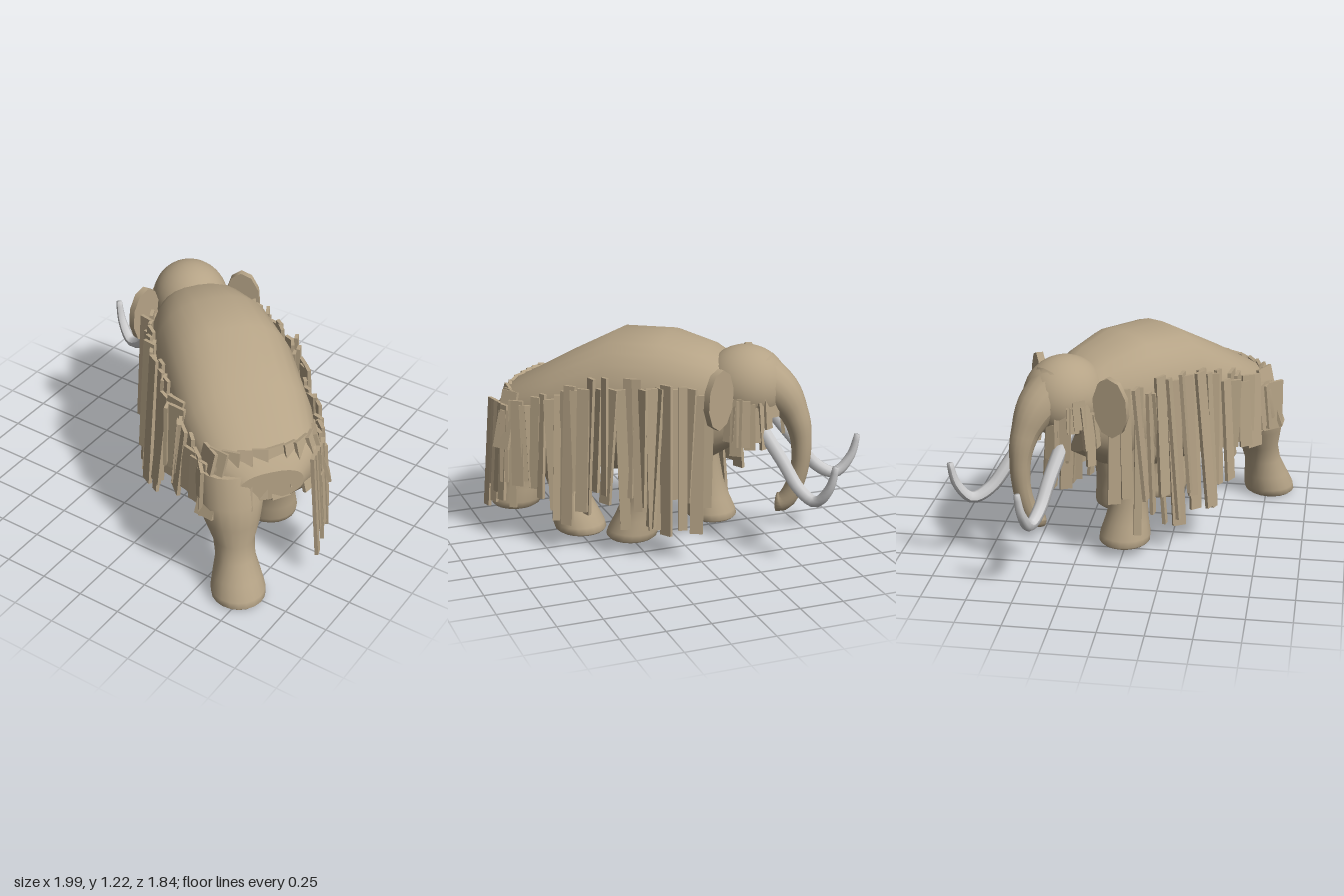
import * as THREE from 'three';

const wool = new THREE.MeshStandardMaterial({ color: 0xb5a386 });
wool.name = 'wool';
const ivory = new THREE.MeshStandardMaterial({ color: 0xcfcfd0 });
ivory.name = 'ivory';

// Seeded random number between a and b
let seed = 7;
const rand = (a, b) => {
  seed = (seed * 16807) % 2147483647;
  return a + (b - a) * (seed / 2147483647);
};

function addMesh(parent, name, geometry, material = wool) {
  const mesh = new THREE.Mesh(geometry, material);
  mesh.name = name;
  parent.add(mesh);
  return mesh;
}

// Skin a list of rings (turning clockwise about the axis) and cap both ends
function loft(rings) {
  const n = rings[0].length, pos = [], idx = [];
  rings.forEach(r => r.forEach(p => pos.push(...p)));
  for (let k = 0; k < rings.length - 1; k++) {
    for (let j = 0; j < n; j++) {
      const a = k * n + j, b = k * n + (j + 1) % n;
      idx.push(b, a, a + n, b, a + n, b + n);
    }
  }
  [rings[0], rings[rings.length - 1]].forEach((ring, end) => {
    const base = pos.length / 3;
    const mid = [0, 1, 2].map(c => ring.reduce((s, p) => s + p[c], 0) / n);
    ring.forEach(p => pos.push(...p));
    pos.push(...mid);
    for (let j = 0; j < n; j++) {
      const a = base + j, b = base + (j + 1) % n;
      if (end) idx.push(base + n, b, a);
      else idx.push(base + n, a, b);
    }
  });
  const g = new THREE.BufferGeometry();
  g.setAttribute('position', new THREE.Float32BufferAttribute(pos, 3));
  g.setIndex(idx);
  g.computeVertexNormals();
  return g;
}

// Tube whose radius follows a list, closed flat at its far end
function taperedTube(points, radii, sides) {
  const seg = 28;
  const curve = new THREE.CatmullRomCurve3(points.map(p => new THREE.Vector3(...p)));
  const g = new THREE.TubeGeometry(curve, seg, 1, sides, false);
  const p = g.attributes.position, v = new THREE.Vector3();
  for (let i = 0; i < p.count; i++) {
    const k = Math.floor(i / (sides + 1));
    const f = Math.min(k, seg - 1) / (seg - 1) * (radii.length - 1);
    const a = Math.min(Math.floor(f), radii.length - 2);
    const r = k === seg ? 0 : THREE.MathUtils.lerp(radii[a], radii[a + 1], f - a);
    const c = curve.getPointAt(k / seg);
    v.fromBufferAttribute(p, i).sub(c).multiplyScalar(r);
    v.add(curve.getPointAt(Math.min(k, seg - 1) / seg));
    p.setXYZ(i, v.x, v.y, v.z);
  }
  g.computeVertexNormals();
  return g;
}

// Body sections: z, top, bottom, half width
const sections = [
  [-0.99, 0.76, 0.58, 0.18], [-0.9, 0.87, 0.5, 0.31], [-0.6, 1.04, 0.43, 0.37],
  [-0.28, 1.21, 0.4, 0.38], [0.02, 1.22, 0.42, 0.36], [0.25, 1.16, 0.5, 0.3],
  [0.44, 1.06, 0.62, 0.2],
];

function sectionAt(z) {
  let i = 0;
  while (i < sections.length - 2 && sections[i + 1][0] < z) i++;
  const a = sections[i], b = sections[i + 1];
  const t = (z - a[0]) / (b[0] - a[0]);
  return a.map((v, k) => THREE.MathUtils.lerp(v, b[k], t));
}

function bodyRing([z, top, bottom, half]) {
  const ring = [], n = 28;
  const power = (v, e) => Math.sign(v) * Math.abs(v) ** e;
  for (let j = 0; j < n; j++) {
    const a = j / n * Math.PI * 2;
    ring.push([half * power(Math.cos(a), 0.8),
      (top + bottom) / 2 - (top - bottom) / 2 * power(Math.sin(a), 0.85), z]);
  }
  return ring;
}

// Leg with flared foot, leaning from foot to hip; profile is [height, radius]
function leg(parent, name, foot, hip, profile) {
  const rings = profile.map(([y, r]) => {
    const t = y / 0.8, ring = [];
    for (let j = 0; j < 20; j++) {
      const a = j / 20 * Math.PI * 2;
      ring.push([THREE.MathUtils.lerp(foot[0], hip[0], t) + r * Math.cos(a),
        foot[1] + y, THREE.MathUtils.lerp(foot[2], hip[1], t) + r * Math.sin(a)]);
    }
    return ring;
  });
  addMesh(parent, name, loft(rings));
}

// Flat lock of wool hanging from a point, facing yaw and leaning outwards
function lock(parent, x, y, z, width, length, yaw, lean) {
  const g = new THREE.BoxGeometry(width, length, 0.02).translate(0, -length / 2, 0);
  const m = addMesh(parent, 'woolLock', g);
  m.position.set(x, y, z);
  m.rotation.set(-lean, yaw, rand(-0.04, 0.04), 'YXZ');
}

export function createModel() {
  seed = 7;
  const model = new THREE.Group();
  model.name = 'woollyMammoth';
  const beast = new THREE.Group();
  beast.name = 'mammoth';
  beast.rotation.y = -2.25;
  beast.position.set(0.025, 0, -0.03);
  model.add(beast);

  addMesh(beast, 'body', loft(sections.map(bodyRing)));

  // Head and trunk
  const head = addMesh(beast, 'head', new THREE.SphereGeometry(1, 28, 20));
  head.scale.set(0.22, 0.23, 0.24);
  head.position.set(0, 0.945, 0.46);
  addMesh(beast, 'trunk', taperedTube(
    [[0, 1, 0.52], [0, 0.91, 0.67], [0, 0.75, 0.765], [0, 0.55, 0.785],
      [0, 0.37, 0.745], [0, 0.28, 0.69], [0, 0.27, 0.62]],
    [0.16, 0.12, 0.08, 0.06, 0.052, 0.05, 0.055], 16));

  // Ears, tusks and cheek wool
  for (const s of [1, -1]) {
    const ear = addMesh(beast, 'ear', new THREE.CylinderGeometry(1, 1, 1, 10).rotateX(Math.PI / 2));
    ear.scale.set(0.1, 0.17, 0.04);
    ear.position.set(s * 0.3, 0.94, 0.39);
    ear.rotation.set(0, s * 0.45, s * 0.08);

    addMesh(beast, 'tusk', taperedTube(
      [[s * 0.13, 0.8, 0.55], [s * 0.17, 0.58, 0.72], [s * 0.21, 0.44, 0.83],
        [s * 0.25, 0.395, 0.93], [s * 0.28, 0.49, 1.01], [s * 0.29, 0.65, 1.05]],
      [0.042, 0.04, 0.038, 0.036, 0.028, 0.018], 8), ivory);

    for (let i = 0; i < 8; i++) {
      const a = 0.5 + i * 0.17;
      lock(beast, s * 0.215 * Math.sin(a), rand(0.85, 1), 0.46 + 0.2 * Math.cos(a),
        rand(0.04, 0.08), rand(0.14, 0.33), s * a + rand(-0.4, 0.4), 0.1);
    }
  }

  // Striding legs
  const rear = [[0, 0.13], [0.015, 0.148], [0.05, 0.15], [0.13, 0.132], [0.23, 0.108],
    [0.33, 0.113], [0.45, 0.155], [0.58, 0.185], [0.75, 0.18]];
  const fore = [[0, 0.13], [0.015, 0.146], [0.05, 0.145], [0.13, 0.125], [0.23, 0.108],
    [0.4, 0.11], [0.55, 0.13], [0.75, 0.15]];
  leg(beast, 'leftRearLeg', [0.19, 0, -1.04], [0.18, -0.78], rear);
  leg(beast, 'rightRearLeg', [-0.19, 0.045, -0.46], [-0.18, -0.72], rear);
  leg(beast, 'rightForeleg', [-0.21, 0.05, -0.15], [-0.19, 0.06], fore);
  leg(beast, 'leftForeleg', [0.21, 0.06, 0.21], [0.18, 0.06], fore);

  // Long wool along the flanks, shorter over the left haunch
  const fleece = new THREE.Group();
  fleece.name = 'fleece';
  beast.add(fleece);
  for (const s of [1, -1]) {
    for (let z = 0.32; z > -0.86; z -= 0.042) {
      const [, top, bottom, half] = sectionAt(z);
      const y = top - (top - bottom) * rand(0.2, 0.32);
      const short = s > 0 && z < -0.4;
      const end = short ? rand(0.42, 0.58) : rand(0.15, 0.38);
      lock(fleece, s * (half + rand(-0.01, 0.03)), y, z, short ? rand(0.07, 0.14) : rand(0.04, 0.08),
        y - end, s * Math.PI / 2 + rand(-0.6, 0.6), rand(0.03, 0.1));
    }
  }

  // Long locks at the right rear corner and short plates across the rump
  for (let i = 0; i < 5; i++) {
    lock(fleece, -0.33 + i * 0.025, 0.8, -0.86 - i * 0.03, 0.05, rand(0.45, 0.66),
      -2.2 + rand(-0.4, 0.4), 0.08);
  }
  for (let i = 0; i < 10; i++) {
    const a = -1.25 + i * 0.278;
    lock(fleece, 0.3 * Math.sin(a), 0.87, -0.8 - 0.12 * Math.cos(a), rand(0.07, 0.13),
      rand(0.24, 0.4), Math.PI - a + rand(-0.2, 0.2), rand(0.2, 0.35));
  }
  return model;
}
